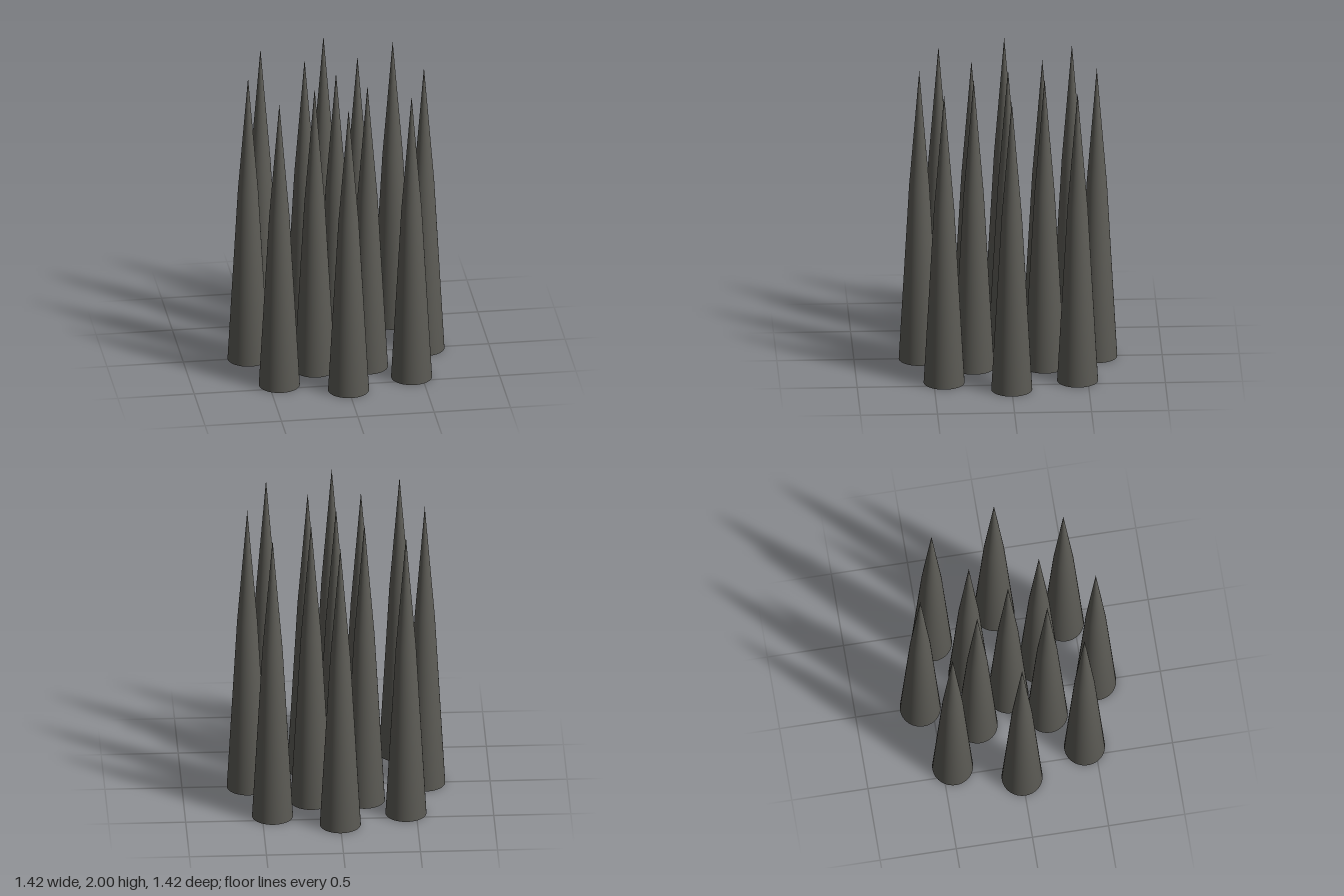
import * as THREE from 'three';

export function createModel() {
  const group = new THREE.Group();
  const material = new THREE.MeshStandardMaterial({ color: 0x5f5e58 });

  // Tapered spike: slender shaft, then a steeper pointed tip, smooth all round
  const profile = [[0, 0], [0.133, 0], [0.066, 1.2], [0, 2]].map(([r, y]) => new THREE.Vector2(r, y));
  const spikeGeometry = new THREE.LatheGeometry(profile, 48);

  function addSpike(name, x, z) {
    const spike = new THREE.Mesh(spikeGeometry, material);
    spike.name = name;
    spike.position.set(x, 0, z);
    group.add(spike);
  }

  addSpike('centreSpike', 0, 0);

  // Four inner spikes and four diagonal outer spikes
  for (const sx of [-1, 1]) {
    for (const sz of [-1, 1]) {
      const place = (sz > 0 ? 'Front' : 'Back') + (sx > 0 ? 'Left' : 'Right');
      addSpike('inner' + place + 'Spike', sx * 0.173, sz * 0.23);
      addSpike('outer' + place + 'Spike', sx * 0.433, sz * 0.433);
    }
  }

  // Outer spikes on the axes
  for (const s of [-1, 1]) {
    addSpike(s > 0 ? 'leftSpike' : 'rightSpike', s * 0.576, 0);
    addSpike(s > 0 ? 'frontSpike' : 'backSpike', 0, s * 0.576);
  }

  return group;
}
